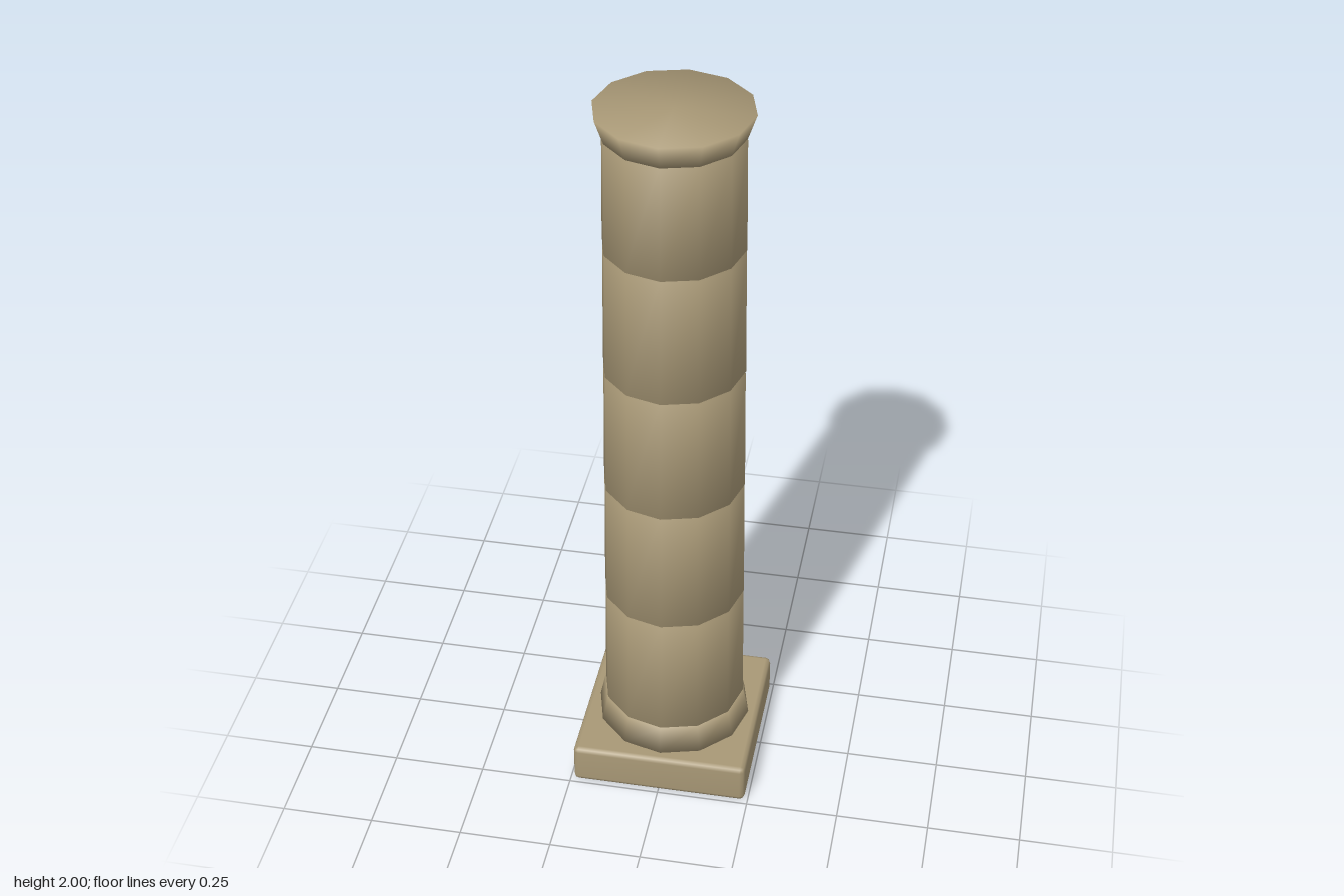
import * as THREE from 'three';
import { mergeVertices } from 'three/addons/utils/BufferGeometryUtils.js';
import { RoundedBoxGeometry } from 'three/addons/geometries/RoundedBoxGeometry.js';

const SIDES = 12;

// Weld all corners so the shading rolls softly over every edge, like worn stone
function soften(geometry) {
  geometry.deleteAttribute('normal');
  geometry.deleteAttribute('uv');
  const welded = mergeVertices(geometry, 1e-4);
  welded.computeVertexNormals();
  return welded;
}

export function createModel() {
  const column = new THREE.Group();
  column.name = 'column';
  const stone = new THREE.MeshStandardMaterial({ color: 0xa89876 });
  stone.name = 'sandstone';

  const add = (name, geometry, y) => {
    const mesh = new THREE.Mesh(soften(geometry), stone);
    mesh.name = name;
    mesh.position.y = y;
    column.add(mesh);
  };

  // Twelve-sided tapered block between two heights
  const block = (name, bottom, top, rBottom, rTop) =>
    add(name, new THREE.CylinderGeometry(rTop, rBottom, top - bottom, SIDES), (bottom + top) / 2);

  // Square plinth with chamfered edges
  add('plinth', new RoundedBoxGeometry(0.482, 0.115, 0.482, 1, 0.014), 0.0575);

  // Flared foot ring
  block('footRing', 0.113, 0.193, 0.213, 0.196);

  // Stacked shaft drums, tapering upwards with a thin joint between each
  const joints = [0.193, 0.549, 0.909, 1.267, 1.625, 1.936];
  const radius = (y) => 0.196 - 0.0095 * (y - 0.19);
  for (let i = 0; i < joints.length - 1; i++) {
    const bottom = joints[i] + (i === 0 ? 0.001 : 0.004);
    const top = joints[i + 1] - 0.004;
    block(`shaftDrum${i + 1}`, bottom, top, radius(bottom), radius(top) - 0.001);
  }

  // Flared capital
  block('capital', 1.936, 2, 0.178, 0.2);

  return column;
}
